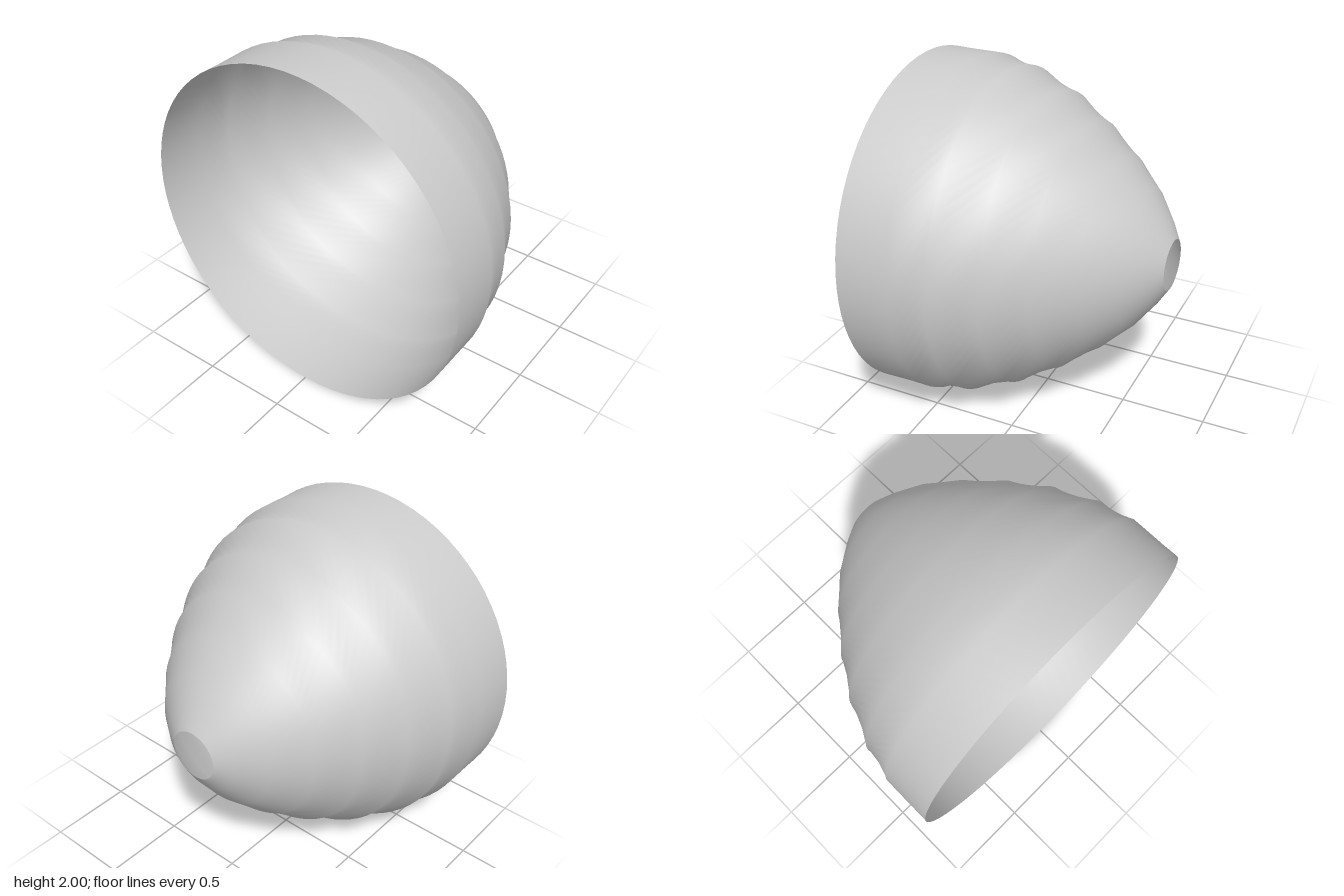
import * as THREE from 'three';

// Rings of the shell from back to front: z, radius, twist in degrees
const RINGS = [
  [-0.75, 0.145, 0],
  [-0.69, 0.245, 3],
  [-0.58, 0.395, 8],
  [-0.42, 0.553, 18],
  [-0.22, 0.713, 36],
  [0, 0.851, 56],
  [0.245, 0.956, 76],
  [0.445, 0.998, 94],
  [0.75, 1, 99],
];

// Turn each ring about the z axis, normals included
function twistRings(geometry) {
  const axis = new THREE.Vector3(0, 0, 1);
  const v = new THREE.Vector3();
  for (const name of ['position', 'normal']) {
    const attribute = geometry.attributes[name];
    for (let i = 0; i < attribute.count; i++) {
      const twist = THREE.MathUtils.degToRad(RINGS[i % RINGS.length][2]);
      v.fromBufferAttribute(attribute, i).applyAxisAngle(axis, -twist);
      attribute.setXYZ(i, v.x, v.y, v.z);
    }
  }
}

export function createModel() {
  const group = new THREE.Group();
  group.name = 'reflector';

  // Thin open bowl with a round hole at the back
  const profile = RINGS.map(([z, r]) => new THREE.Vector2(r, z));
  const geometry = new THREE.LatheGeometry(profile, 72);
  geometry.rotateX(Math.PI / 2);
  twistRings(geometry);

  const material = new THREE.MeshStandardMaterial({ color: 0xcccccc, side: THREE.DoubleSide });
  const shell = new THREE.Mesh(geometry, material);
  shell.name = 'bowlShell';
  shell.position.y = 1;
  group.add(shell);
  return group;
}
